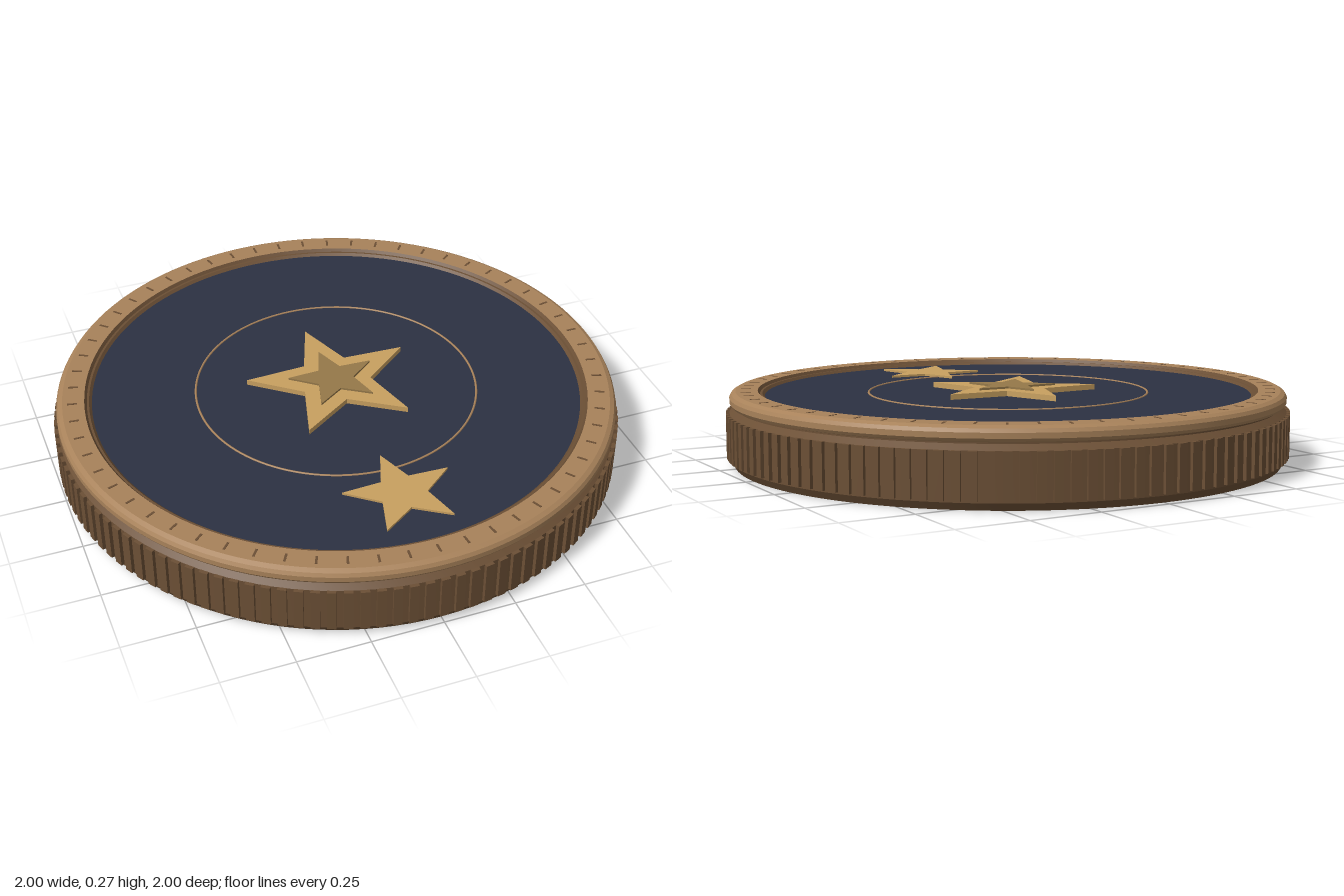
import * as THREE from 'three';
import { toCreasedNormals } from 'three/addons/utils/BufferGeometryUtils.js';

const mat = (color) => new THREE.MeshStandardMaterial({ color });
const bronze = mat(0xa8825a), brown = mat(0x6b4f35), dark = mat(0x2e2219);
const navy = mat(0x2c3142), gold = mat(0xc8a060), oldGold = mat(0x957849);

function add(parent, name, geometry, material, y = 0, z = 0) {
  const mesh = new THREE.Mesh(geometry, material);
  mesh.name = name;
  mesh.position.set(0, y, z);
  parent.add(mesh);
  return mesh;
}

// Solid of revolution with crisp profile corners
function lathe(points) {
  const profile = points.map(([r, y]) => new THREE.Vector2(r, y));
  return toCreasedNormals(new THREE.LatheGeometry(profile, 120), 0.35);
}

// Five-pointed star lying flat, one point towards the back
function star(radius, height) {
  const shape = new THREE.Shape();
  for (let i = 0; i < 10; i++) {
    const r = i % 2 ? radius * 0.42 : radius;
    const a = Math.PI / 2 + (i * Math.PI) / 5;
    shape[i ? 'lineTo' : 'moveTo'](r * Math.cos(a), r * Math.sin(a));
  }
  shape.closePath();
  return new THREE.ExtrudeGeometry(shape, { depth: height, bevelEnabled: false }).rotateX(-Math.PI / 2);
}

// Equal boxes set around the axis
function ringOfBoxes(name, count, size, radius, y, material) {
  const group = new THREE.Group();
  group.name = name;
  const geometry = new THREE.BoxGeometry(...size);
  for (let i = 0; i < count; i++) {
    const a = (i / count) * Math.PI * 2;
    const box = add(group, name + 'Piece', geometry, material);
    box.position.set(radius * Math.sin(a), y, radius * Math.cos(a));
    box.rotation.y = a;
  }
  return group;
}

export function createModel() {
  const model = new THREE.Group();
  model.name = 'medallion';

  // Body: underside, chamfered foot, edge wall and groove under the rim
  add(model, 'underside', new THREE.CircleGeometry(0.973, 120).rotateX(Math.PI / 2), dark);
  add(model, 'foot', lathe([[0.973, 0], [0.988, 0.025], [0.988, 0.03]]), brown);
  add(model, 'edgeWall', lathe([[0.988, 0.03], [0.988, 0.185], [0.965, 0.203], [0.965, 0.212]]), brown);
  model.add(ringOfBoxes('edgeRidges', 120, [0.03, 0.155, 0.022], 0.989, 0.108, brown));

  // Rim with rounded shoulder and stepped inner lip
  add(model, 'rim', lathe([
    [0.965, 0.208], [0.98, 0.212], [0.987, 0.222], [0.987, 0.24],
    [0.98, 0.252], [0.965, 0.26], [0.888, 0.26],
  ]), bronze);
  add(model, 'innerLip', lathe([[0.888, 0.26], [0.88, 0.25], [0.872, 0.25], [0.862, 0.24]]), brown);
  model.add(ringOfBoxes('rimNotches', 60, [0.008, 0.004, 0.035], 0.93, 0.259, brown));

  // Inlaid face with its fine circle
  add(model, 'face', new THREE.CircleGeometry(0.866, 120).rotateX(-Math.PI / 2), navy, 0.241);
  add(model, 'faceCircle', new THREE.TorusGeometry(0.498, 0.004, 8, 120).rotateX(Math.PI / 2), bronze, 0.241);

  // Stars
  add(model, 'centreStar', star(0.31, 0.022), gold, 0.238, -0.02);
  add(model, 'centreStarInset', star(0.163, 0.008), oldGold, 0.259, -0.018);
  add(model, 'smallStar', star(0.198, 0.01), gold, 0.239, 0.626);
  return model;
}
